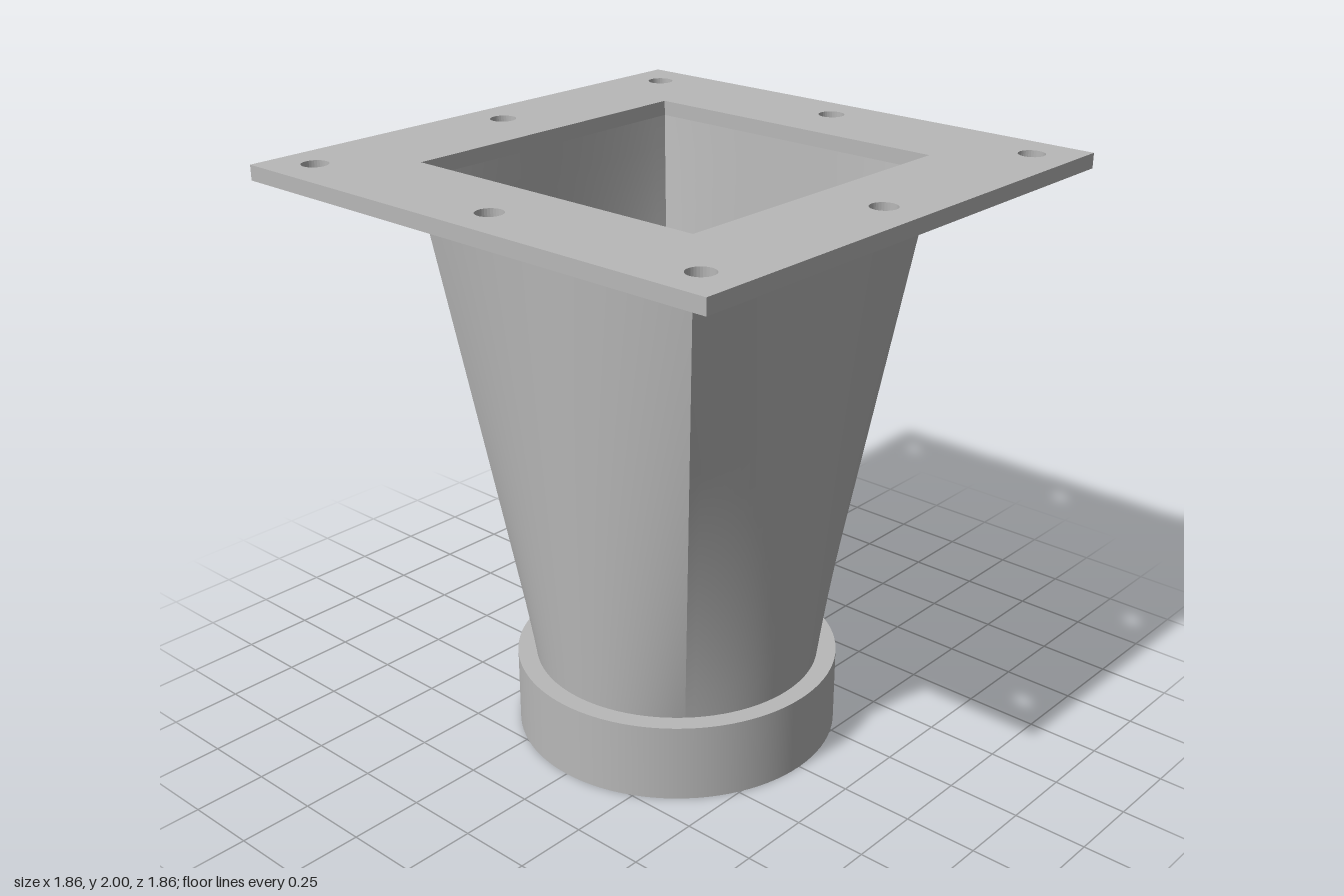
import * as THREE from 'three';

const BOTTOM = 0.27, TOP = 1.95;

// One side of the square-to-round wall, ruled from a circle arc to a straight edge
function ruledSide(radius, half, inward) {
  const cols = 24, rows = 16, pos = [], index = [];
  for (let j = 0; j <= rows; j++) {
    const t = j / rows;
    for (let i = 0; i <= cols; i++) {
      const s = (i / cols) * 2 - 1;
      const a = s * Math.PI / 4;
      pos.push(
        THREE.MathUtils.lerp(radius * Math.sin(a), half * s, t),
        THREE.MathUtils.lerp(BOTTOM, TOP, t),
        THREE.MathUtils.lerp(radius * Math.cos(a), half, t)
      );
    }
  }
  const w = cols + 1;
  for (let j = 0; j < rows; j++) {
    for (let i = 0; i < cols; i++) {
      const a = j * w + i, b = a + 1, c = a + w, d = c + 1;
      if (inward) index.push(a, d, b, a, c, d);
      else index.push(a, b, d, a, d, c);
    }
  }
  const g = new THREE.BufferGeometry();
  g.setAttribute('position', new THREE.Float32BufferAttribute(pos, 3));
  g.setIndex(index);
  g.computeVertexNormals();
  return g;
}

function squarePath(PathType, h) {
  const p = new PathType();
  p.moveTo(-h, -h);
  p.lineTo(h, -h);
  p.lineTo(h, h);
  p.lineTo(-h, h);
  p.closePath();
  return p;
}

export function createModel() {
  const model = new THREE.Group();
  model.name = 'squareToRoundAdapter';
  const metal = new THREE.MeshStandardMaterial({ color: 0xb8b8b8 });
  metal.name = 'light grey metal';

  const add = (name, geometry, parent = model) => {
    const mesh = new THREE.Mesh(geometry, metal);
    mesh.name = name;
    parent.add(mesh);
    return mesh;
  };

  // Square flange with the duct opening and eight bolt holes
  const plate = squarePath(THREE.Shape, 0.93);
  plate.holes.push(squarePath(THREE.Path, 0.56));
  for (const x of [-0.79, 0, 0.79]) {
    for (const z of [-0.79, 0, 0.79]) {
      if (x === 0 && z === 0) continue;
      const hole = new THREE.Path();
      hole.absarc(x, z, 0.044, 0, Math.PI * 2, true);
      plate.holes.push(hole);
    }
  }
  const flange = add('flange', new THREE.ExtrudeGeometry(plate, {
    depth: 2 - TOP, bevelEnabled: false, curveSegments: 16
  }));
  flange.rotation.x = -Math.PI / 2;
  flange.position.y = TOP;

  // Thin-walled transition from round to square, creased at the four corners
  const transition = new THREE.Group();
  transition.name = 'transition';
  model.add(transition);
  const outer = ruledSide(0.49, 0.575, false);
  const inner = ruledSide(0.47, 0.56, true);
  for (let k = 0; k < 4; k++) {
    add('outerWall', outer, transition).rotation.y = k * Math.PI / 2;
    add('innerWall', inner, transition).rotation.y = k * Math.PI / 2;
  }

  // Round collar: each straight run keeps its own normals for sharp rims
  const collar = new THREE.Group();
  collar.name = 'collar';
  model.add(collar);
  const rOut = 0.555, rIn = 0.46;
  const runs = {
    collarOutside: [[rOut, 0], [rOut, BOTTOM]],
    collarTopRim: [[rOut, BOTTOM], [rIn, BOTTOM]],
    collarInside: [[rIn, BOTTOM], [rIn, 0]],
    collarBottomRim: [[rIn, 0], [rOut, 0]]
  };
  for (const [name, run] of Object.entries(runs)) {
    add(name, new THREE.LatheGeometry(run.map(([r, y]) => new THREE.Vector2(r, y)), 96), collar);
  }

  return model;
}
